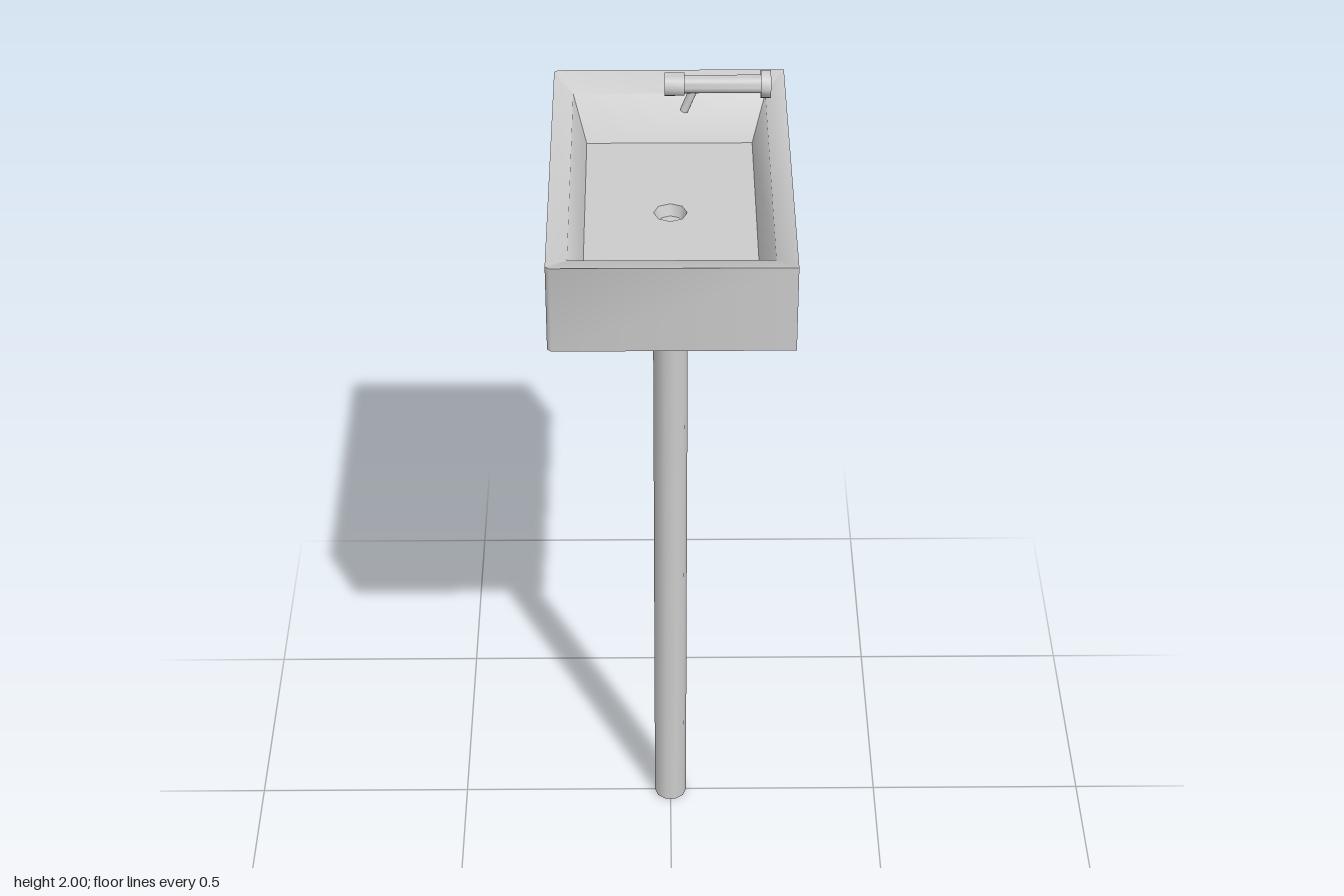
import * as THREE from 'three';
import { toCreasedNormals } from 'three/addons/utils/BufferGeometryUtils.js';

const material = new THREE.MeshStandardMaterial({ color: 0xcccccc });
const FLOOR = 1.66;

function add(group, name, geometry) {
  const mesh = new THREE.Mesh(toCreasedNormals(geometry, 1.0), material);
  mesh.name = name;
  group.add(mesh);
  return mesh;
}

// Rectangular ring at height y; c chamfers the two corners on the -x side
function ring(hx, hz, y, c = 0) {
  return [
    [hx, hz], [hx, -hz], [-hx + c, -hz], [-hx, -hz + c], [-hx, hz - c], [-hx + c, hz],
  ].map(([x, z]) => new THREE.Vector3(x, y, z));
}

// Basin body: rings from the underside, up the outside, over the rim and down to the floor
function basinGeometry() {
  const rings = [
    ring(0.255, 0.408, 1.58, 0.008),
    ring(0.255, 0.408, 1.78, 0.008),
    ring(0.212, 0.342, 1.757),
    ring(0.183, 0.293, FLOOR),
  ];
  const points = [];
  const triangle = (a, b, c) => {
    if (new THREE.Triangle(a, b, c).getArea() > 1e-8) points.push(a, b, c);
  };
  for (let r = 0; r < rings.length - 1; r++) {
    const lo = rings[r], hi = rings[r + 1];
    for (let i = 0; i < 6; i++) {
      const j = (i + 1) % 6;
      triangle(lo[i], lo[j], hi[j]);
      triangle(lo[i], hi[j], hi[i]);
    }
  }
  for (let i = 1; i < 5; i++) triangle(rings[0][0], rings[0][i + 1], rings[0][i]);
  const geometry = new THREE.BufferGeometry().setFromPoints(points);
  geometry.computeVertexNormals();
  return geometry;
}

// Basin floor with an octagonal drain opening
function floorGeometry(radius) {
  const shape = new THREE.Shape([
    new THREE.Vector2(-0.183, -0.293), new THREE.Vector2(0.183, -0.293),
    new THREE.Vector2(0.183, 0.293), new THREE.Vector2(-0.183, 0.293),
  ]);
  const hole = [];
  for (let i = 0; i < 8; i++) {
    const a = (i * Math.PI) / 4;
    hole.push(new THREE.Vector2(Math.cos(a) * radius, Math.sin(a) * radius));
  }
  shape.holes.push(new THREE.Path(hole));
  return new THREE.ShapeGeometry(shape).rotateX(-Math.PI / 2).translate(0, FLOOR, 0);
}

// Capped cylinder between two points
function rod(from, to, radius, sides) {
  const a = new THREE.Vector3(...from), b = new THREE.Vector3(...to);
  const dir = b.clone().sub(a);
  const geometry = new THREE.CylinderGeometry(radius, radius, dir.length(), sides);
  const turn = new THREE.Quaternion().setFromUnitVectors(
    new THREE.Vector3(0, 1, 0), dir.clone().normalize());
  const mid = a.add(b).multiplyScalar(0.5);
  return geometry.applyQuaternion(turn).translate(mid.x, mid.y, mid.z);
}

export function createModel() {
  const model = new THREE.Group();
  model.name = 'pedestalSink';

  // Basin
  const basin = new THREE.Group();
  basin.name = 'basin';
  model.add(basin);
  add(basin, 'basinBody', basinGeometry());
  add(basin, 'basinFloor', floorGeometry(0.036));

  // Drain funnel, ending in a flat bottom
  const drain = new THREE.LatheGeometry([
    new THREE.Vector2(0.036, FLOOR), new THREE.Vector2(0.027, FLOOR - 0.025),
    new THREE.Vector2(0, FLOOR - 0.025),
  ], 8, Math.PI / 2);
  const drainMesh = add(basin, 'drain', drain);
  drainMesh.material = material.clone();
  drainMesh.material.side = THREE.DoubleSide;

  // Pedestal
  add(model, 'pedestal', new THREE.CylinderGeometry(0.038, 0.038, 1.58, 10)
    .rotateY(Math.PI / 2).translate(0, 0.79, 0));

  // Tap
  const tap = new THREE.Group();
  tap.name = 'tap';
  model.add(tap);
  const y = 1.971;
  add(tap, 'tapHandle', rod([-0.012, y, 0], [0.029, y, 0], 0.024, 16));
  add(tap, 'tapPipe', rod([0.025, y, 0], [0.19, y, 0], 0.019, 16));
  add(tap, 'wallFlange', rod([0.187, y, 0], [0.208, y, 0], 0.029, 16));
  add(tap, 'spout', rod([0.028, 1.908, 0], [0.05, 1.964, 0], 0.009, 12));
  return model;
}
